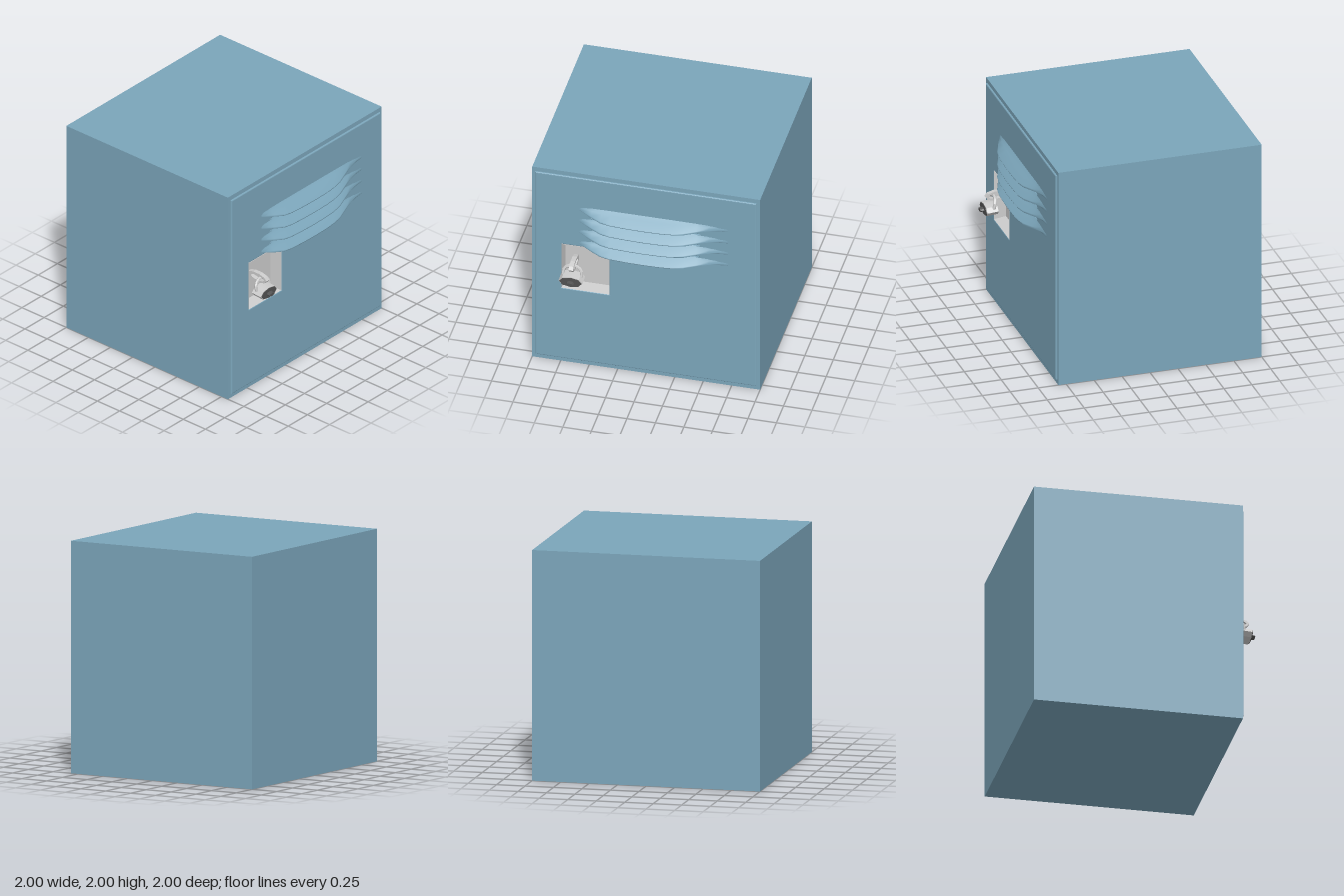
import * as THREE from 'three';
import { toCreasedNormals } from 'three/addons/utils/BufferGeometryUtils.js';

const blue = new THREE.MeshStandardMaterial({ color: 0x7ba5ba, side: THREE.DoubleSide });
const grey = new THREE.MeshStandardMaterial({ color: 0xcccccc, side: THREE.DoubleSide });
const dark = new THREE.MeshStandardMaterial({ color: 0x555555 });

const HOLE = { x0: -0.74, x1: -0.32, y0: 0.78, y1: 1.24 };
const LOCK_X = -0.63;

function add(parent, name, geometry, material, x = 0, y = 0, z = 0) {
  const mesh = new THREE.Mesh(geometry, material);
  mesh.name = name;
  mesh.position.set(x, y, z);
  parent.add(mesh);
  return mesh;
}

function rectPoints(x0, y0, x1, y1) {
  return [[x0, y0], [x1, y0], [x1, y1], [x0, y1]].map(p => new THREE.Vector2(...p));
}

// Skin between successive closed rings of [x, y, z] points
function loft(rings, crease) {
  const n = rings[0].length, index = [];
  for (let i = 0; i < rings.length - 1; i++) {
    for (let j = 0; j < n; j++) {
      const k = (j + 1) % n, a = i * n + j, b = i * n + k;
      index.push(a, b, a + n, b, b + n, a + n);
    }
  }
  const g = new THREE.BufferGeometry();
  g.setAttribute('position', new THREE.Float32BufferAttribute(rings.flat(2), 3));
  g.setIndex(index);
  return toCreasedNormals(g, crease);
}

function makeCabinet(root) {
  // Box without its front, which is replaced by a sheet with the lock opening
  const box = new THREE.BoxGeometry(2, 2, 1.82);
  const index = Array.from(box.index.array);
  index.splice(24, 6);
  box.setIndex(index);
  box.clearGroups();
  add(root, 'cabinetShell', box, blue, 0, 1, -0.09);
  const sheet = new THREE.Shape(rectPoints(-1, 0, 1, 2));
  sheet.holes.push(new THREE.Path(rectPoints(HOLE.x0, HOLE.y0, HOLE.x1, HOLE.y1)));
  add(root, 'cabinetFront', new THREE.ShapeGeometry(sheet), blue, 0, 0, 0.82);
}

function makeDoor(root) {
  const b = 0.01;
  const shape = new THREE.Shape(rectPoints(-0.97 + b, 0.04 + b, 0.97 - b, 1.96 - b));
  shape.holes.push(new THREE.Path(rectPoints(HOLE.x0 - b, HOLE.y0 - b, HOLE.x1 + b, HOLE.y1 + b)));
  // Pointed vent slots between the louvers
  for (let i = 0; i < 3; i++) {
    const y = 1.553 - i * 0.118, h = 0.022;
    shape.holes.push(new THREE.Path([
      [-0.48, y], [-0.4, y - h], [0.4, y - h], [0.48, y], [0.4, y + h], [-0.4, y + h],
    ].map(p => new THREE.Vector2(...p))));
  }
  const geometry = new THREE.ExtrudeGeometry(shape, {
    depth: 0.005, bevelEnabled: true, bevelSize: b, bevelThickness: b, bevelSegments: 3,
  });
  add(root, 'door', geometry, blue, 0, 0, 0.82);
}

function makeLouvers(root) {
  // Reach of the vane in front of the door, along x
  const reach = [[-0.58, 0.004], [-0.54, 0.022], [-0.47, 0.055], [-0.38, 0.09], [-0.3, 0.102],
    [-0.15, 0.108], [0, 0.11], [0.15, 0.108], [0.25, 0.102], [0.35, 0.088], [0.45, 0.056],
    [0.56, 0.022], [0.64, 0.01], [0.72, 0.004]];
  const rings = reach.map(([x, d]) => {
    const s = d / 0.11, tip = 0.055 * (1 - s);
    return [
      [x, 0.095, 0], [x, 0.062 * s + 0.08 * (1 - s), d * 0.32], [x, tip + 0.016, d * 0.94],
      [x, tip + 0.008, d], [x, tip, d * 0.97], [x, 0.036 * s + 0.06 * (1 - s), d * 0.35], [x, 0.055, 0],
    ];
  });
  const geometry = loft(rings, 0.9);
  for (let i = 0; i < 4; i++) add(root, 'louver', geometry, blue, 0, 1.57 - i * 0.118, 0.832);
}

function makeRecess(root) {
  const ring = (x0, y0, x1, y1, z) => rectPoints(x0, y0, x1, y1).map(p => [p.x, p.y, z]);
  add(root, 'recessWalls', loft([
    ring(HOLE.x0, HOLE.y0, HOLE.x1, HOLE.y1, 0.834),
    ring(-0.73, 0.8, -0.345, 1.22, 0.73),
  ], 0.3), grey);
  add(root, 'recessBack', new THREE.PlaneGeometry(0.385, 0.42), grey, -0.5375, 1.01, 0.73);
}

function makePadlock(root) {
  // Flat hasp loop standing out of the recess
  const hasp = new THREE.Shape().absellipse(0, 0, 0.115, 0.045, 0, Math.PI * 2);
  hasp.holes.push(new THREE.Path().absellipse(0.015, 0, 0.075, 0.024, 0, Math.PI * 2));
  const plate = new THREE.ExtrudeGeometry(hasp, { depth: 0.04, bevelEnabled: false, curveSegments: 5 });
  plate.translate(0, 0, -0.02).rotateY(-Math.PI / 2);
  add(root, 'hasp', plate, grey, LOCK_X, 1.06, 0.835);

  const lock = new THREE.Group();
  lock.name = 'padlock';
  lock.position.set(LOCK_X, 0.95, 0.91);
  lock.rotation.x = 0.08;
  root.add(lock);

  // Squat eight-sided body with a dark dial and knob
  const disc = (r, depth, sides) => toCreasedNormals(
    new THREE.CylinderGeometry(r, r, depth, sides).rotateX(Math.PI / 2).scale(1, 0.5, 1), 0.5);
  add(lock, 'lockBody', disc(0.105, 0.1, 8), grey);
  add(lock, 'dial', disc(0.098, 0.008, 8), dark, 0, 0, 0.052);
  add(lock, 'knob', disc(0.033, 0.035, 8), dark, 0, 0, 0.072);

  // Shackle leaning back through the hasp
  const path = new THREE.CatmullRomCurve3([
    [-0.075, 0, -0.01], [-0.08, 0.06, -0.03], [-0.05, 0.095, -0.043], [0, 0.105, -0.048],
    [0.05, 0.095, -0.043], [0.08, 0.06, -0.03], [0.075, 0, -0.01],
  ].map(p => new THREE.Vector3(...p)));
  add(lock, 'shackle', toCreasedNormals(new THREE.TubeGeometry(path, 10, 0.015, 6), 0.5), grey);
}

export function createModel() {
  const root = new THREE.Group();
  root.name = 'locker';
  makeCabinet(root);
  makeDoor(root);
  makeLouvers(root);
  makeRecess(root);
  makePadlock(root);
  return root;
}
